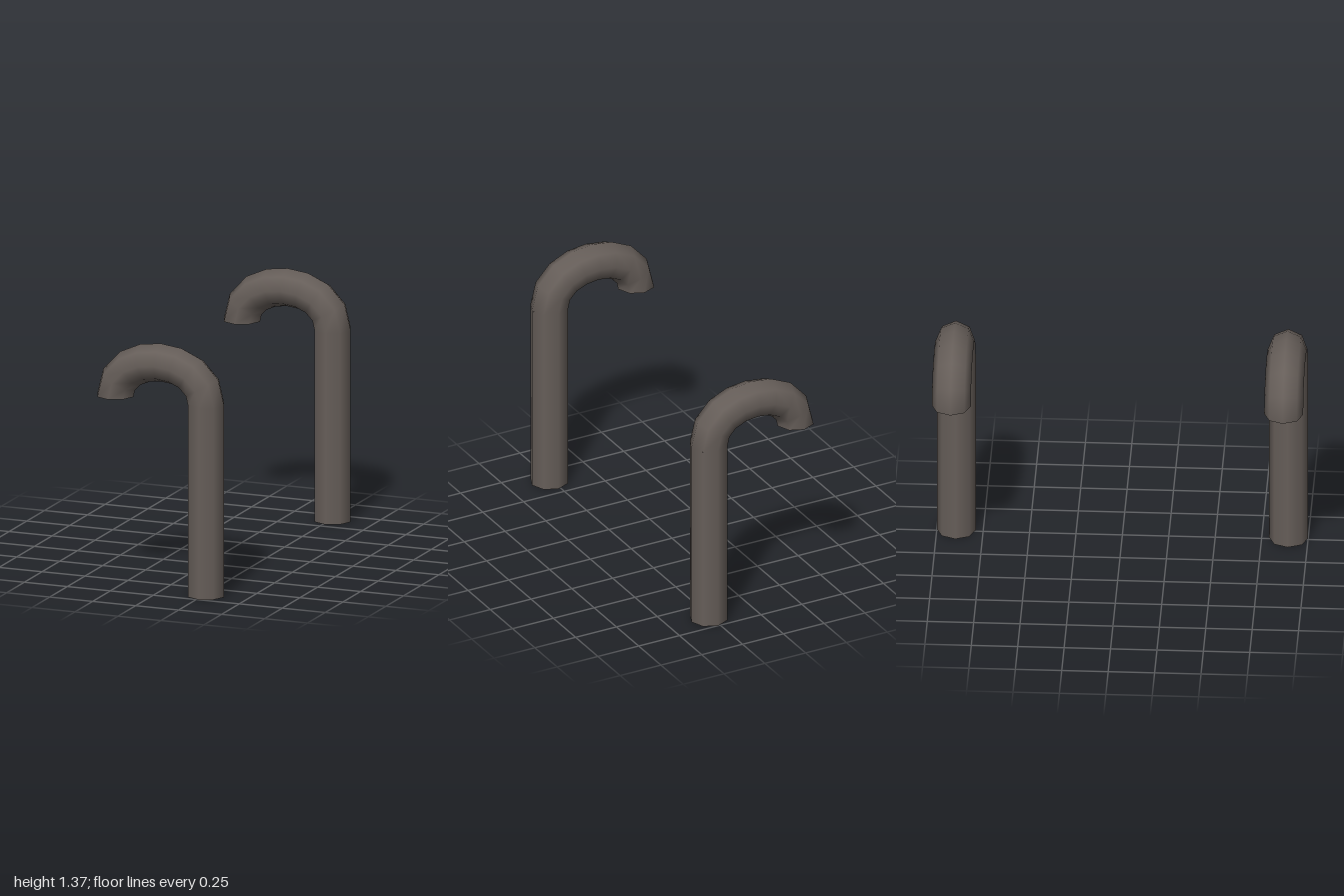
import * as THREE from 'three';

const RADIUS = 0.105, SIDES = 8;
const REACH = 0.264;   // half the width of the hook, centre line
const STEM = 1.06;     // height where the bend starts
const SPACING = 0.895; // distance of each hook from the middle

export function createModel() {
  const model = new THREE.Group();
  model.name = 'hookPair';

  const iron = new THREE.MeshStandardMaterial({ color: 0x665e59, side: THREE.DoubleSide });
  iron.name = 'darkIron';

  // Open upright pipe
  const stemGeometry = new THREE.CylinderGeometry(RADIUS, RADIUS, STEM, SIDES, 1, true);
  stemGeometry.translate(REACH, STEM / 2, 0);

  // Open bend curling over to the right
  const bend = new THREE.CubicBezierCurve3(
    new THREE.Vector3(REACH, STEM, 0),
    new THREE.Vector3(REACH, STEM + 0.276, 0),
    new THREE.Vector3(-REACH, STEM + 0.276, 0),
    new THREE.Vector3(-REACH, STEM, 0)
  );
  const bendGeometry = new THREE.TubeGeometry(bend, 8, RADIUS, SIDES, false);

  for (const [name, z] of [['frontHook', SPACING], ['backHook', -SPACING]]) {
    const hook = new THREE.Group();
    hook.name = name;
    hook.position.z = z;
    for (const [part, geometry] of [['stem', stemGeometry], ['bend', bendGeometry]]) {
      const mesh = new THREE.Mesh(geometry, iron);
      mesh.name = part;
      hook.add(mesh);
    }
    model.add(hook);
  }
  return model;
}
